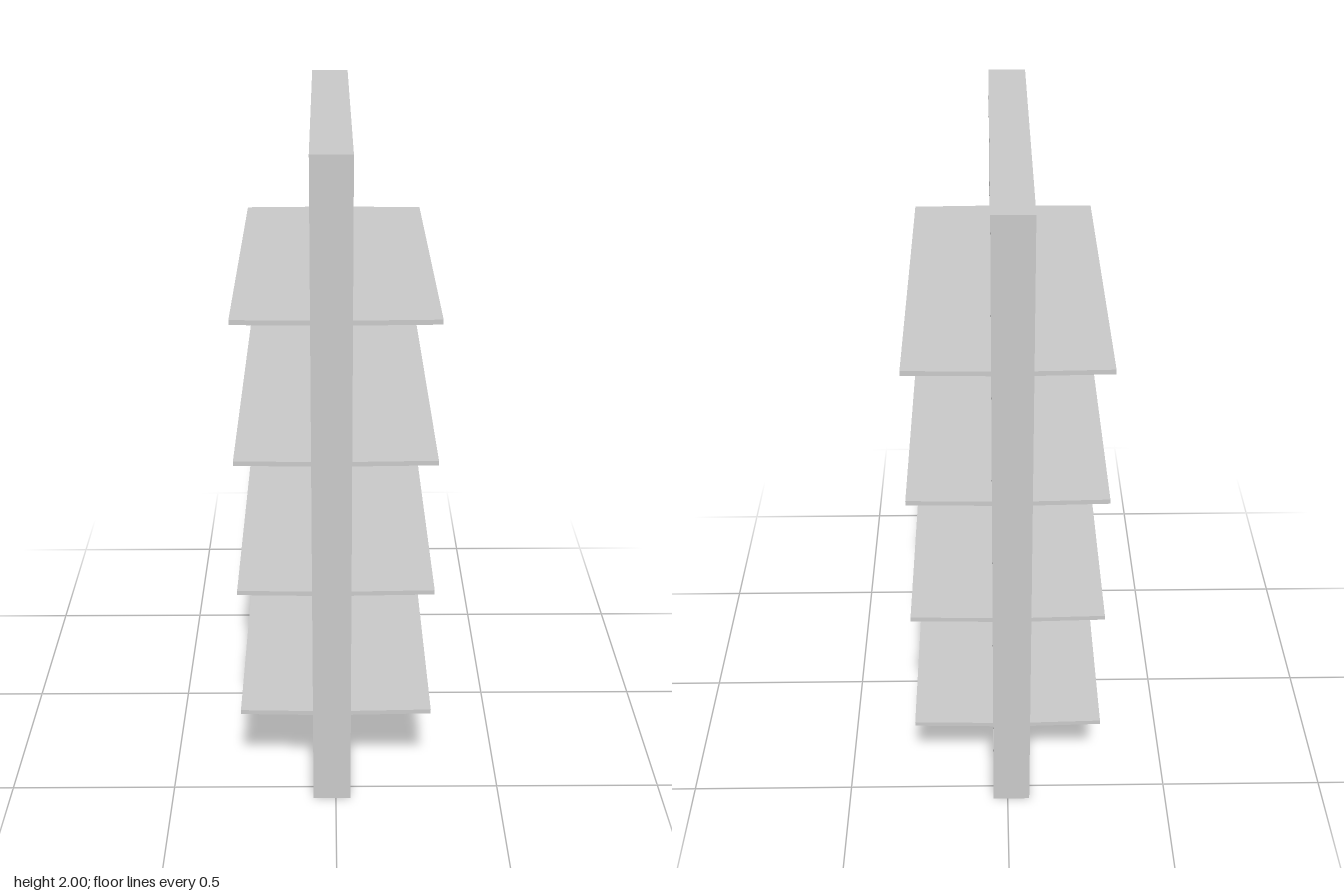
import * as THREE from 'three';

const FRAME_X = -0.012, FRAME_DEPTH = 0.113, FRAME_HALF = 0.555;
const INNER_HALF = 0.543, RAIL = 0.026;

// Closed rectangular frame: thin uprights, thicker top and bottom rails
function frameGeometry() {
  const outline = new THREE.Shape();
  outline.moveTo(-FRAME_HALF, 0).lineTo(FRAME_HALF, 0).lineTo(FRAME_HALF, 2).lineTo(-FRAME_HALF, 2).closePath();
  const opening = new THREE.Path();
  opening.moveTo(-INNER_HALF, RAIL).lineTo(-INNER_HALF, 2 - RAIL)
    .lineTo(INNER_HALF, 2 - RAIL).lineTo(INNER_HALF, RAIL).closePath();
  outline.holes.push(opening);
  const geo = new THREE.ExtrudeGeometry(outline, { depth: FRAME_DEPTH, bevelEnabled: false });
  return geo.translate(0, 0, -FRAME_DEPTH / 2).rotateY(Math.PI / 2).translate(FRAME_X, 0, 0);
}

// Shelf board, full width inside the frame and tapering slightly to its free edges
function shelfGeometry(thickness) {
  const a = FRAME_X - FRAME_DEPTH / 2, b = FRAME_X + FRAME_DEPTH / 2;
  const half = 0.284, end = 0.537;
  const edge = [[-half, end], [a, INNER_HALF], [b, INNER_HALF], [half, end]];
  const points = [...edge.map(([x, z]) => [x, -z]), ...edge.reverse()];
  const shape = new THREE.Shape(points.map(([x, z]) => new THREE.Vector2(x, z)));
  const geo = new THREE.ExtrudeGeometry(shape, { depth: thickness, bevelEnabled: false });
  return geo.translate(0, 0, -thickness / 2).rotateX(-Math.PI / 2);
}

export function createModel() {
  const model = new THREE.Group();
  model.name = 'shelfUnit';
  const material = new THREE.MeshStandardMaterial({ color: 0xcccccc });

  const frame = new THREE.Mesh(frameGeometry(), material);
  frame.name = 'frame';
  model.add(frame);

  // Four evenly spaced shelves
  const board = shelfGeometry(0.014);
  for (let i = 0; i < 4; i++) {
    const shelf = new THREE.Mesh(board, material);
    shelf.name = `shelf${i + 1}`;
    shelf.position.y = 0.307 + i * 0.4135;
    model.add(shelf);
  }
  return model;
}
